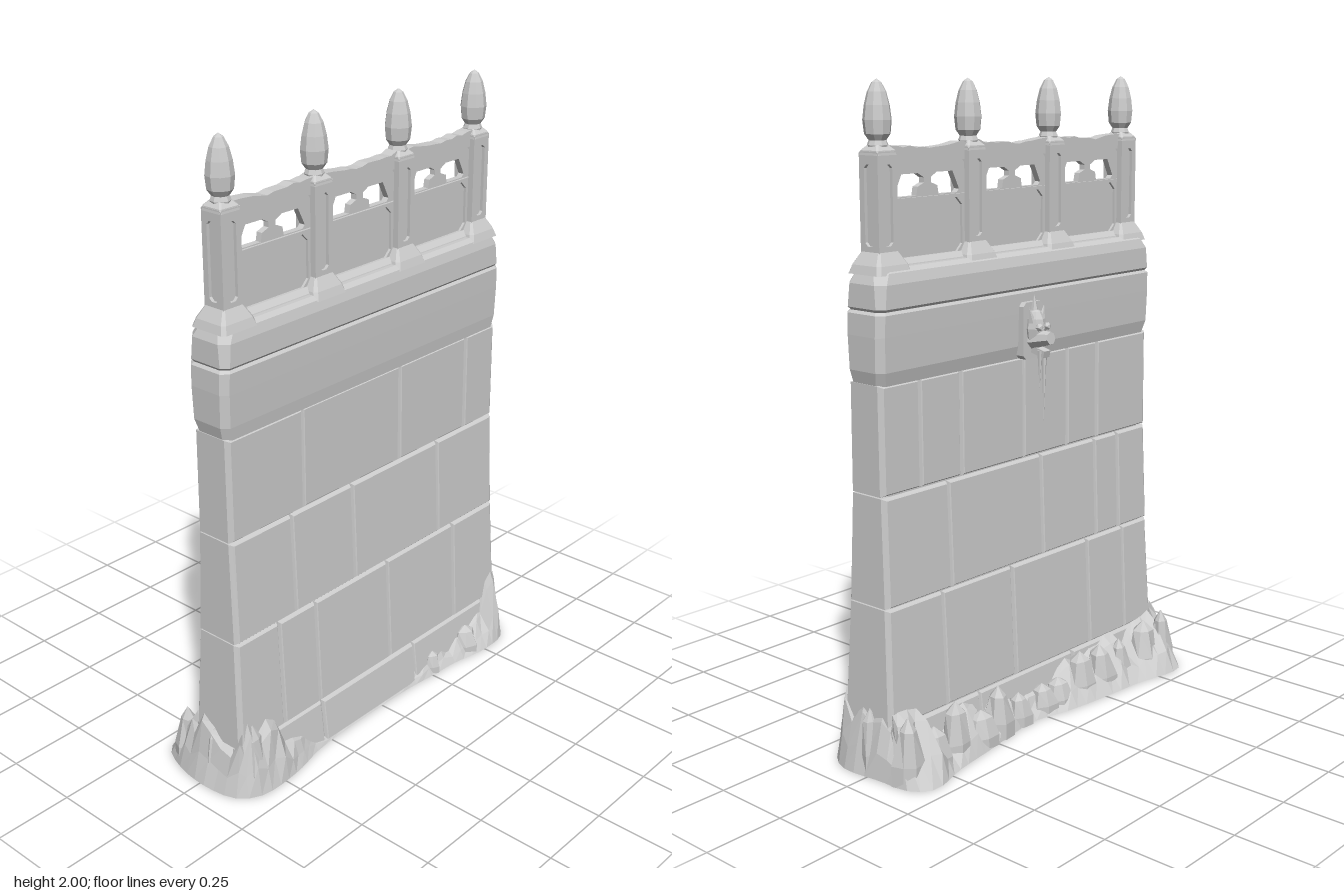
import * as THREE from 'three';

const stone = new THREE.MeshStandardMaterial({ color: 0xcccccc, side: THREE.DoubleSide });
stone.name = 'grey stone';

let seed = 7;
const rnd = () => ((seed = (seed * 16807) % 2147483647) / 2147483647);
const jit = (a) => (rnd() * 2 - 1) * a;
const V = (x, y, z) => new THREE.Vector3(x, y, z);
const ZC = 0.035; // middle of the wall's depth

function add(parent, name, geo, x = 0, y = 0, z = 0) {
  const g = geo.index ? geo.toNonIndexed() : geo;
  g.computeVertexNormals(); // faceted stone
  const m = new THREE.Mesh(g, stone);
  m.name = name;
  m.position.set(x, y, z);
  parent.add(m);
  return m;
}

// Skin closed loops of points, optionally capping the last one
function loft(loops, cap = true) {
  const p = [], n = loops[0].length;
  const tri = (...v) => v.forEach((q) => p.push(q.x, q.y, q.z));
  for (let i = 0; i + 1 < loops.length; i++) {
    for (let j = 0; j < n; j++) {
      const k = (j + 1) % n, A = loops[i], B = loops[i + 1];
      tri(A[j], A[k], B[k]);
      tri(A[j], B[k], B[j]);
    }
  }
  const L = loops[loops.length - 1];
  if (cap) for (let j = 1; j + 1 < n; j++) tri(L[0], L[j], L[j + 1]);
  const g = new THREE.BufferGeometry();
  g.setAttribute('position', new THREE.Float32BufferAttribute(p, 3));
  return g;
}

// Horizontal rectangle with cut corners
function section([y, hx, zb, zf, c = 0.02]) {
  return [[hx - c, zf], [hx, zf - c], [hx, zb + c], [hx - c, zb], [c - hx, zb], [-hx, zb + c], [-hx, zf - c], [c - hx, zf]]
    .map(([x, z]) => V(x, y, z));
}

// Wall profile: height, half width, back z, front z
const PROFILE = [[0, 0.64, -0.08, 0.15], [0.15, 0.632, -0.064, 0.134], [0.5, 0.62, -0.047, 0.117], [0.85, 0.615, -0.034, 0.102], [1.2, 0.615, -0.032, 0.1]];
function profile(y) {
  let i = 0;
  while (i < PROFILE.length - 2 && y > PROFILE[i + 1][0]) i++;
  const a = PROFILE[i], b = PROFILE[i + 1], t = (y - a[0]) / (b[0] - a[0]);
  return a.map((v, k) => v + (b[k] - v) * t);
}

// One bevelled stone on the front (side 1) or back (side -1)
function block(x0, x1, y0, y1, side, shallow) {
  const gap = 0.002, b = 0.007, bump = jit(0.002);
  const ring = (inset, dz, mid) => {
    const pts = [[0, y0], [1, y0], [1, y1], [0, y1]].map(([r, y], i) => {
      const [, w, zb, zf] = profile(y);
      const end = r ? x1 === null : x0 === null;
      let x = r ? (end ? w : x1) : (end ? -w : x0);
      x += (r ? -1 : 1) * (end ? inset * 2 : gap + inset);
      const face = side > 0 ? zf : zb;
      return V(x, y + (i < 2 ? 1 : -1) * (gap + inset), mid ? ZC : face + side * (bump - dz));
    });
    return side > 0 ? pts : pts.reverse();
  };
  return loft([shallow ? ring(0, 0.035) : ring(0, 0, true), ring(0, 0.012), ring(b * 0.6, 0.003), ring(b, 0)]);
}

// Upright plate with cut corners, used as a frame with a slot
function octagon(Type, w, y0, y1, c) {
  const s = new Type();
  [[-w, y0 + c], [c - w, y0], [w - c, y0], [w, y0 + c], [w, y1 - c], [w - c, y1], [c - w, y1], [-w, y1 - c]]
    .forEach(([x, y], i) => (i ? s.lineTo(x, y) : s.moveTo(x, y)));
  s.closePath();
  return s;
}
const extrude = (shape, depth) => new THREE.ExtrudeGeometry(shape, { depth, bevelEnabled: false });

function buildWall(g) {
  add(g, 'wallCore', loft(PROFILE.map(([y, w, b, f]) => section([y, w - 0.012, b + 0.012, f - 0.012])), false));
  const ys = [0, 0.15, 0.51, 0.84, 1.165];
  const joints = {
    1: [[-0.27, 0.18], [-0.44, -0.28, 0.06, 0.4], [-0.365, -0.095, 0.32], [-0.31, 0.13, 0.46]],
    '-1': [[-0.2, 0.25], [-0.48, -0.29, 0.08, 0.39], [-0.46, -0.34, -0.07, 0.35], [-0.35, -0.2, 0.01, 0.29, 0.46]],
  };
  for (const side of [1, -1]) {
    joints[side].forEach((row, k) => {
      const xs = [null, ...row, null];
      for (let i = 0; i + 1 < xs.length; i++) {
        add(g, side > 0 ? 'frontBlock' : 'backBlock', block(xs[i], xs[i + 1], ys[k], ys[k + 1], side, k === 0));
      }
    });
  }
  // Projecting top courses with a groove between them
  add(g, 'coping', loft([
    [1.16, 0.612, -0.03, 0.1], [1.2, 0.622, -0.04, 0.104], [1.3, 0.624, -0.043, 0.107], [1.362, 0.622, -0.044, 0.108],
    [1.37, 0.614, -0.037, 0.101], [1.378, 0.62, -0.044, 0.108], [1.445, 0.618, -0.043, 0.106, 0.025],
    [1.475, 0.605, -0.033, 0.098, 0.03], [1.487, 0.58, -0.018, 0.085, 0.03],
  ].map(section)));
}

function buildRail(g) {
  const posts = [-0.545, -0.1825, 0.18, 0.543];
  for (const x of posts) {
    const post = new THREE.Group();
    post.name = 'post';
    post.position.set(x, 0, ZC);
    g.add(post);
    add(post, 'postFoot', loft([[1.47, 0.068, -0.066, 0.066, 0.01], [1.495, 0.06, -0.058, 0.058, 0.01], [1.53, 0.038, -0.038, 0.038, 0.005]].map(section)));
    add(post, 'postCore', new THREE.BoxGeometry(0.054, 0.3, 0.054), 0, 1.65, 0);
    for (let i = 0; i < 4; i++) {
      const s = octagon(THREE.Shape, 0.037, 1.5, 1.805, 0.004);
      s.holes.push(octagon(THREE.Path, 0.018, 1.545, 1.77, 0.01));
      add(post, 'postFrame', extrude(s, 0.012).translate(0, 0, 0.025)).rotation.y = i * Math.PI / 2;
    }
    add(post, 'postCap', loft([[1.795, 0.038, -0.038, 0.038, 0.004], [1.808, 0.036, -0.036, 0.036, 0.005], [1.825, 0.02, -0.02, 0.02, 0.005]].map(section)));
    const bud = [[0.027, 1.81], [0.03, 1.822], [0.025, 1.835], [0.037, 1.852], [0.041, 1.89], [0.036, 1.93], [0.027, 1.965], [0.014, 1.99], [0, 2]];
    add(post, 'finial', new THREE.LatheGeometry(bud.map((p) => new THREE.Vector2(...p)), 9));
  }
  for (let i = 0; i < 3; i++) {
    const c = (posts[i] + posts[i + 1]) / 2, h = 0.155;
    // Pierced panel with a worn upper edge
    const s = new THREE.Shape([[-h, 1.48], [h, 1.48], [h, 1.79], [-h, 1.79]].map((p) => new THREE.Vector2(...p)));
    for (const m of [-1, 1]) {
      s.holes.push(new THREE.Path([[-0.13, 1.685], [-0.103, 1.738], [-0.038, 1.738], [-0.014, 1.725], [-0.014, 1.71], [-0.04, 1.7], [-0.045, 1.675], [-0.12, 1.675]]
        .map(([x, y]) => new THREE.Vector2(x * m, y))));
    }
    add(g, 'railPanel', extrude(s, 0.02), c, 0, ZC - 0.01);
    const top = new THREE.Shape();
    top.moveTo(-h, 1.77).lineTo(h, 1.77);
    for (let k = 0; k <= 12; k++) top.lineTo(h - k * h / 6, 1.806 + 0.014 * Math.abs(k / 6 - 1) + jit(0.005));
    add(g, 'handrail', extrude(top, 0.04), c, 0, ZC - 0.02);
    // Raised border around the lower field
    const frame = octagon(THREE.Shape, h, 1.48, 1.672, 0.002);
    frame.holes.push(octagon(THREE.Path, 0.134, 1.505, 1.662, 0.022));
    add(g, 'panelBorder', extrude(frame, 0.036), c, 0, ZC - 0.018);
    add(g, 'railFoot', loft([[1.475, h, -0.04, 0.04, 0.003], [1.49, h, -0.035, 0.035, 0.003], [1.505, h, -0.02, 0.02, 0.003]].map(section)), c, 0, ZC);
  }
}

function buildRubble(g) {
  // Ground outline: x, height, z
  const outline = [[-0.6, 0.21, 0.185], [-0.45, 0.14, 0.187], [-0.3, 0.03, 0.158], [0, 0.015, 0.152], [0.15, 0.03, 0.157], [0.25, 0.08, 0.167],
    [0.36, 0.05, 0.175], [0.5, 0.11, 0.2], [0.62, 0.2, 0.182], [0.675, 0.2, 0.1], [0.664, 0.17, -0.05], [0.655, 0.15, -0.15], [0.6, 0.18, -0.205],
    [0.45, 0.12, -0.172], [0.3, 0.11, -0.15], [0.15, 0.09, -0.125], [0.05, 0.08, -0.117], [-0.1, 0.1, -0.15], [-0.27, 0.12, -0.17],
    [-0.4, 0.12, -0.18], [-0.61, 0.15, -0.205], [-0.67, 0.19, -0.1], [-0.683, 0.18, 0.05], [-0.66, 0.19, 0.14]].map((p) => V(...p));
  const ring = new THREE.CatmullRomCurve3(outline, true).getSpacedPoints(84).slice(0, -1);
  const loops = [[], [], [], []];
  for (const p of ring) {
    const h = Math.max(0.01, p.y * (1 + jit(0.3)));
    const wx = THREE.MathUtils.clamp(p.x, -0.622, 0.622), wz = THREE.MathUtils.clamp(p.z, -0.06, 0.13);
    [[0, 0], [0.3, 0.4], [0.72, 0.85], [1, 1]].forEach(([t, u], i) => {
      const s = i === 1 || i === 2 ? t + jit(0.12) : t;
      loops[i].push(V(p.x + (wx - p.x) * s, h * u, p.z + (wz - p.z) * s));
    });
  }
  add(g, 'rubbleSkirt', loft(loops, false));

  // Loose boulders: x, z, radius, height
  const rocks = [[-0.58, 0.13, 0.05, 0.22], [0.59, 0.125, 0.045, 0.2], [0.27, 0.145, 0.03, 0.08], [0.45, 0.145, 0.05, 0.1],
    [-0.63, 0.02, 0.035, 0.19], [0.635, 0.02, 0.035, 0.2]];
  for (let i = 0; i < 13; i++) {
    const x = -0.6 + i * 0.1, far = Math.abs(x) / 0.6;
    rocks.push([x + jit(0.02), -0.085 - 0.035 * far, 0.052 + jit(0.01), 0.12 + 0.06 * far + jit(0.04)]);
  }
  for (const [x, z, r, h] of rocks) {
    const geo = new THREE.SphereGeometry(1, 7, 5), p = geo.attributes.position, spin = rnd() * 6;
    for (let i = 0; i < p.count; i++) {
      const y = Math.max(0, p.getY(i)), k = 1 + 0.15 * Math.sin(5 * p.getX(i) + 3 * p.getZ(i) + spin);
      p.setXYZ(i, p.getX(i) * r * k, y * h, p.getZ(i) * r * 0.9 * k);
    }
    add(g, 'boulder', geo, x, 0, z);
  }
}

// Carved animal-head water spout on the back
function buildSpout(g) {
  const s = new THREE.Group();
  s.name = 'waterSpout';
  g.add(s);
  add(s, 'spoutPlate', extrude(octagon(THREE.Shape, 0.045, 1.16, 1.335, 0.012), 0.03), 0, 0, -0.062);
  add(s, 'head', new THREE.SphereGeometry(1, 8, 6).scale(0.034, 0.06, 0.035), 0, 1.255, -0.07);
  const muzzle = add(s, 'muzzle', new THREE.CylinderGeometry(0.02, 0.032, 0.07, 7), 0, 1.225, -0.098);
  muzzle.rotation.x = -Math.PI / 2 + 0.15;
  add(s, 'jaw', new THREE.BoxGeometry(0.03, 0.022, 0.05), 0, 1.185, -0.092).rotation.x = -0.25;
  add(s, 'crest', new THREE.ConeGeometry(0.022, 0.09, 6), 0, 1.315, -0.066);
  for (const m of [-1, 1]) {
    add(s, 'ear', new THREE.ConeGeometry(0.013, 0.05, 5), m * 0.028, 1.3, -0.075).rotation.z = -m * 0.3;
    add(s, 'brow', new THREE.IcosahedronGeometry(0.013, 0), m * 0.018, 1.262, -0.102);
  }
  [[0, 0.009, 0.22, -0.105], [0.014, 0.008, 0.12, -0.1], [-0.014, 0.008, 0.09, -0.098]].forEach(([x, r, len, z]) => {
    add(s, 'icicle', new THREE.ConeGeometry(r, len, 6).rotateX(Math.PI), x, 1.19 - len / 2, z);
  });
}

export function createModel() {
  const g = new THREE.Group();
  g.name = 'balustradeWall';
  buildWall(g);
  buildRail(g);
  buildRubble(g);
  buildSpout(g);
  return g;
}
